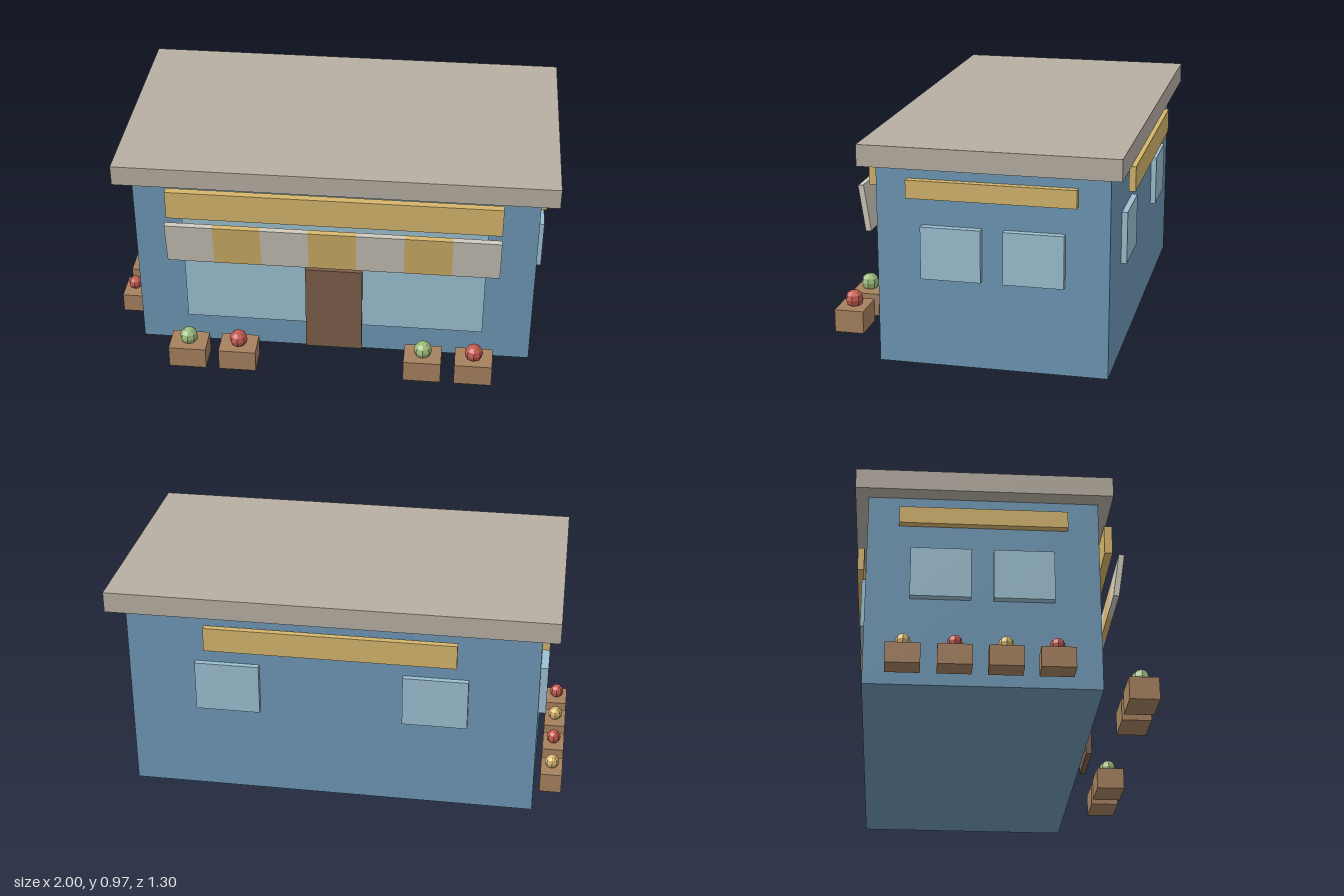
import * as THREE from 'three';

const mat = (color) => new THREE.MeshStandardMaterial({ color, flatShading: true });

export function createModel() {
  const group = new THREE.Group();
  const paint = {
    wall: mat(0x6d97b5), roof: mat(0xb7afa3), gold: mat(0xd5b56c), cream: mat(0xcec8bb),
    glass: mat(0x9cc0d2), door: mat(0x7c5e49), crate: mat(0xa6815f),
    green: mat(0x9dba7c), red: mat(0xc25a50),
  };

  // Box given by its limits on each axis
  function slab(name, material, [x0, x1], [y0, y1], [z0, z1], parent = group) {
    const mesh = new THREE.Mesh(new THREE.BoxGeometry(x1 - x0, y1 - y0, z1 - z0), material);
    mesh.position.set((x0 + x1) / 2, (y0 + y1) / 2, (z0 + z1) / 2);
    mesh.name = name;
    parent.add(mesh);
    return mesh;
  }

  // Building shell
  const cx = 0.022;
  slab('walls', paint.wall, [-0.877, 0.92], [0, 0.874], [-0.594, 0.39]);
  slab('roof', paint.roof, [-0.953, 0.997], [0.874, 0.966], [-0.65, 0.448]);

  // Shop front
  slab('frontWindow', paint.glass, [-0.657, 0.7], [0.155, 0.702], [0.39, 0.416]);
  slab('door', paint.door, [-0.107, 0.15], [0.032, 0.465], [0.412, 0.437]);
  slab('frontSign', paint.gold, [-0.716, 0.76], [0.73, 0.864], [0.437, 0.472]);

  // Striped awning, leaning outward at the top
  const awning = new THREE.Group();
  awning.name = 'awning';
  awning.position.set(cx, 0.6225, 0.496);
  awning.rotation.x = 0.147;
  const stripe = 1.476 / 7;
  for (let i = 0; i < 7; i++) {
    const x = (i - 3.5) * stripe;
    slab('awningStripe', i % 2 ? paint.gold : paint.cream,
      [x, x + stripe], [-0.1025, 0.1025], [-0.0125, 0.0125], awning);
  }
  group.add(awning);

  // Matching signs and windows on both sides
  for (const side of [[0.92, 0.952], [-0.909, -0.877]]) {
    slab('sideSign', paint.gold, side, [0.737, 0.815], [-0.461, 0.256]);
    for (const z of [0.068, -0.282])
      slab('sideWindow', paint.glass, side, [0.391, 0.618], [z - 0.128, z + 0.128]);
  }

  // Back wall
  slab('backSign', paint.gold, [cx - 0.548, cx + 0.548], [0.714, 0.823], [-0.643, -0.614]);
  for (const x of [cx - 0.457, cx + 0.457])
    slab('backWindow', paint.glass, [x - 0.142, x + 0.142], [0.408, 0.636], [-0.619, -0.594]);

  // Crate with a faceted fruit on top
  function produce(x, z, w, h, d, radius, fruitY, material) {
    const stand = new THREE.Group();
    stand.name = 'produceStand';
    slab('crate', paint.crate, [x - w / 2, x + w / 2], [0.041, 0.041 + h], [z - d / 2, z + d / 2], stand);
    const fruit = new THREE.Mesh(new THREE.SphereGeometry(radius, 8, 6), material);
    fruit.position.set(x, fruitY, z);
    fruit.name = 'fruit';
    stand.add(fruit);
    group.add(stand);
  }
  [-0.623, -0.396, 0.438, 0.666].forEach((x, i) =>
    produce(x, 0.587, 0.168, 0.102, 0.13, 0.041, 0.171, i % 2 ? paint.red : paint.green));
  [-0.432, -0.222, -0.013, 0.196].forEach((z, i) =>
    produce(-0.952, z, 0.096, 0.09, 0.143, 0.032, 0.158, i % 2 ? paint.red : paint.gold));

  return group;
}
